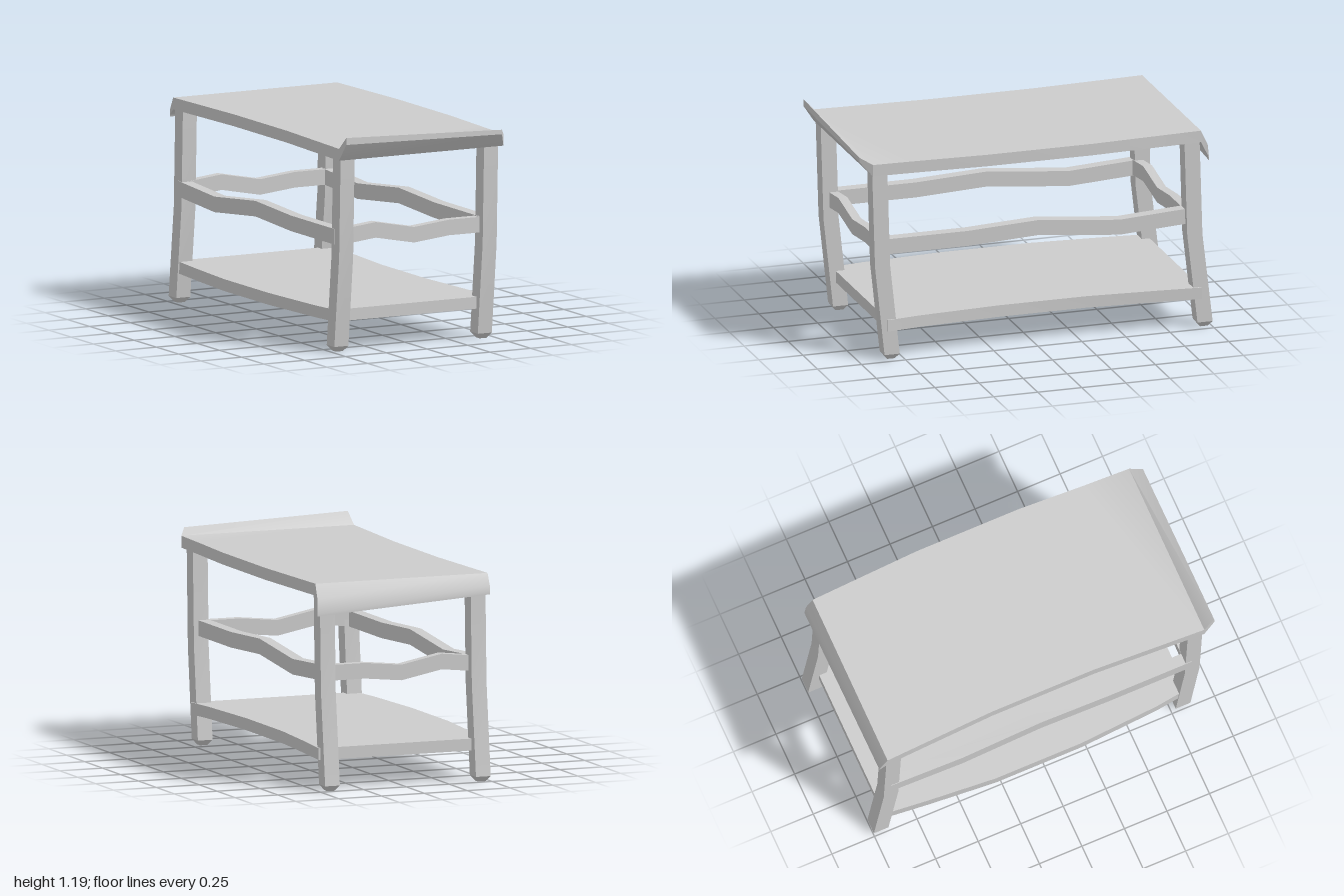
import * as THREE from 'three';
import { toCreasedNormals } from 'three/addons/utils/BufferGeometryUtils.js';

const material = new THREE.MeshStandardMaterial({ color: 0xcccccc });

// Skin four-cornered cross-sections; corners run counter-clockwise seen from the last section.
function loft(name, sections) {
  const index = [];
  const last = (sections.length - 1) * 4;
  for (let s = 0; s < last; s += 4) {
    for (let j = 0; j < 4; j++) {
      const a = s + j, b = s + (j + 1) % 4;
      index.push(a, b, b + 4, a, b + 4, a + 4);
    }
  }
  index.push(0, 2, 1, 0, 3, 2, last, last + 1, last + 2, last, last + 2, last + 3);
  const geometry = new THREE.BufferGeometry();
  geometry.setAttribute('position', new THREE.Float32BufferAttribute(sections.flat(2), 3));
  geometry.setIndex(index);
  const mesh = new THREE.Mesh(toCreasedNormals(geometry, 0.5), material);
  mesh.name = name;
  return mesh;
}

// Cross-section facing z: left and right edges, with bottom and top heights at each.
const acrossZ = (z, xl, xr, bl, tl, br = bl, tr = tl) =>
  [[xl, bl, z], [xr, br, z], [xr, tr, z], [xl, tl, z]];
// Cross-section facing x.
const acrossX = (x, z0, z1, y0, y1) =>
  [[x, y0, z1], [x, y0, z0], [x, y1, z0], [x, y1, z1]];
// Square cross-section facing y.
const acrossY = (y, x, z, h) =>
  [[x - h, y, z + h], [x + h, y, z + h], [x + h, y, z - h], [x - h, y, z - h]];

export function createModel() {
  const model = new THREE.Group();

  // Bowed top: drooping lip at the back, tilted upturned lip with a cut corner at the front
  const bow = [[-0.68, 0.012], [-0.3, 0.03], [0.3, 0.03], [0.68, 0.012]];
  model.add(loft('tableTop', [
    acrossZ(-0.97, -0.5, 0.505, 1.015, 1.03, 0.953, 0.965),
    acrossZ(-0.962, -0.503, 0.503, 1.03, 1.06, 0.985, 1.045),
    acrossZ(-0.925, -0.505, 0.5, 1.06, 1.125),
    ...bow.map(([z, b]) => acrossZ(z, -0.505 + b, 0.5 + b, 1.06, 1.125)),
    acrossZ(0.937, -0.505, 0.503, 1.06, 1.125),
    acrossZ(1, -0.495, 0.46, 1.155, 1.193, 1.135, 1.16),
  ]));

  // Lower shelf, bowed the opposite way
  const shelfBow = [[-0.935, 0], [-0.68, 0.025], [-0.3, 0.055], [0.2, 0.055], [0.66, 0.025], [0.845, 0]];
  model.add(loft('lowerShelf', shelfBow.map(([z, b]) =>
    acrossZ(z, -0.48 - b, 0.485 - b, 0.165, 0.23))));

  // Bent legs with tapered feet
  const frontLine = [[0, 0.818], [0.03, 0.818], [0.53, 0.872], [1.06, 0.888]];
  const backLine = [[0, -0.957], [0.03, -0.957], [0.53, -0.899], [1.06, -0.883]];
  for (const [side, x] of [['right', -0.449], ['left', 0.431]]) {
    for (const [end, line] of [['Front', frontLine], ['Back', backLine]]) {
      model.add(loft(`${side}${end}Leg`, line.map(([y, z], i) =>
        acrossY(y, x, z, i === 0 ? 0.021 : 0.043))));
    }
  }

  // Wavy rails along the sides
  const sideWave = [[-0.9, 0.59], [-0.48, 0.565], [-0.02, 0.611], [0.38, 0.591], [0.87, 0.591]];
  for (const [side, x] of [['right', -0.495], ['left', 0.383]]) {
    model.add(loft(`${side}Rail`, sideWave.map(([z, y]) => acrossZ(z, x, x + 0.064, y, y + 0.085))));
  }

  // Wavy rails across the ends
  const endWave = [[-0.445, 0.59], [-0.25, 0.611], [-0.015, 0.565], [0.2, 0.587], [0.43, 0.587]];
  for (const [end, z] of [['front', 0.832], ['back', -0.897]]) {
    model.add(loft(`${end}Rail`, endWave.map(([x, y]) => acrossX(x, z, z + 0.05, y, y + 0.085))));
  }

  return model;
}
